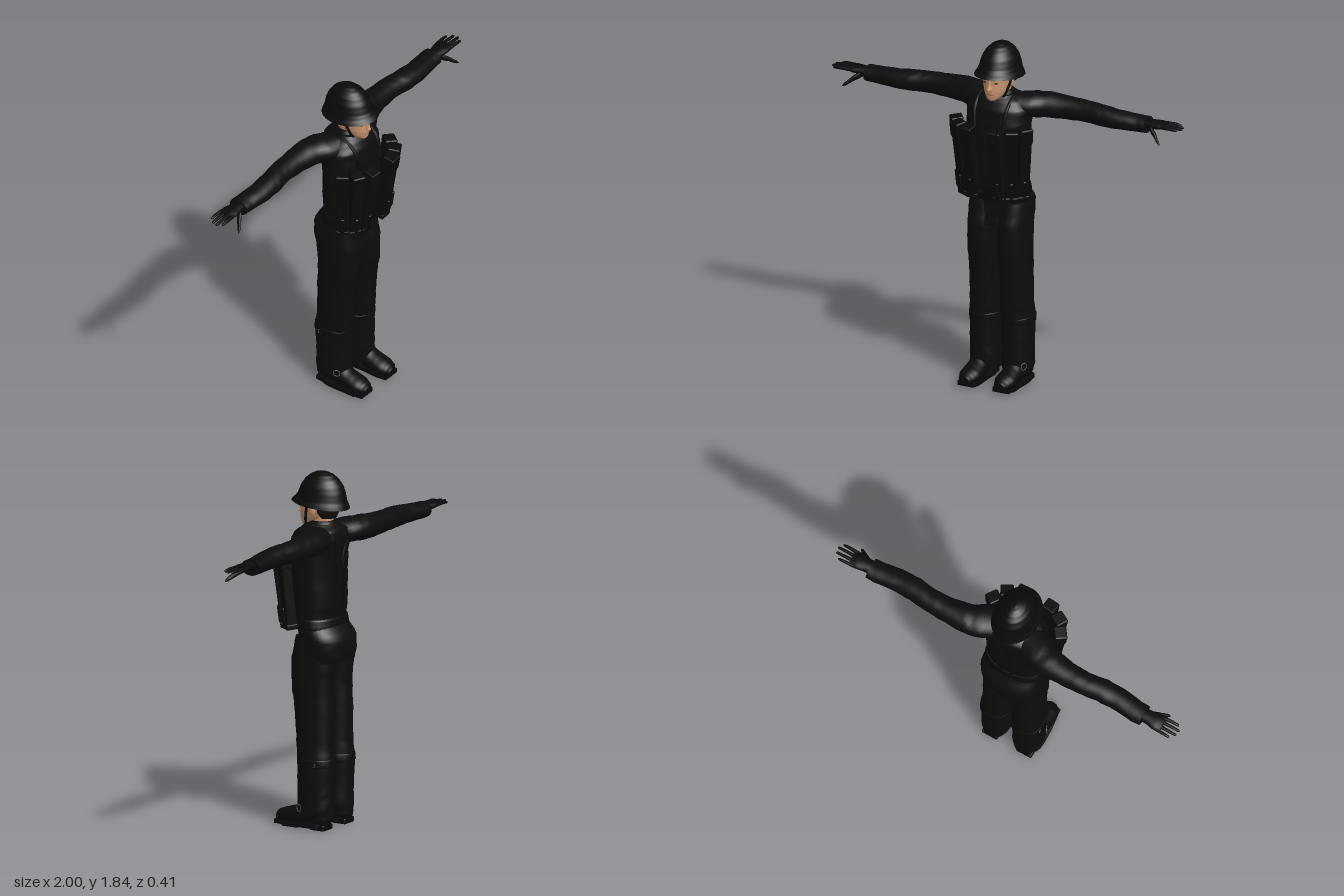
import * as THREE from 'three';
import { RoundedBoxGeometry } from 'three/addons/geometries/RoundedBoxGeometry.js';

const mat = (name, color) => Object.assign(new THREE.MeshStandardMaterial({ color }), { name });

// Smooth tube through elliptical sections [t, u, v, ru, rv]; fold adds soft cloth creases.
// Axis y: u=x, v=z. Axis x: u=z, v=y. Axis z: u=y, v=x.
function loft(axis, rows, { seg = 28, sub = 4, fold = 0, square = 1 } = {}) {
  rows = [...rows].sort((a, b) => a[0] - b[0]);
  const rings = [];
  for (let i = 0; i < rows.length - 1; i++) {
    const [p, a, b, q] = [rows[Math.max(i - 1, 0)], rows[i], rows[i + 1], rows[Math.min(i + 2, rows.length - 1)]];
    for (let s = 0; s < sub; s++) {
      const t = s / sub, h = t * t * (3 - 2 * t);
      rings.push(a.map((_, k) => k === 0 ? a[0] + (b[0] - a[0]) * t
        : a[k] + (b[k] - a[k]) * (0.5 * t + 0.5 * h) + 0.05 * t * (1 - t) * (a[k] + b[k] - p[k] - q[k])));
    }
  }
  rings.push(rows[rows.length - 1]);
  const pos = [], idx = [];
  const put = (t, u, v) => pos.push(...(axis === 'y' ? [u, t, v] : axis === 'x' ? [t, v, u] : [v, u, t]));
  const ring = ([t, u, v, ru, rv]) => {
    for (let j = 0; j < seg; j++) {
      const a = j / seg * Math.PI * 2, c = Math.cos(a), s = Math.sin(a);
      const k = 1 + fold * Math.sin(t * 75 + 2 * Math.sin(a * 2 + t * 9)) * Math.sin(a + t * 14);
      put(t, u + ru * k * Math.sign(c) * Math.abs(c) ** square, v + rv * k * Math.sign(s) * Math.abs(s) ** square);
    }
  };
  rings.forEach(ring);
  for (let i = 0; i < rings.length - 1; i++) for (let j = 0; j < seg; j++) {
    const a = i * seg + j, b = i * seg + (j + 1) % seg;
    idx.push(a, a + seg, b, b, a + seg, b + seg);
  }
  [rings[0], rings[rings.length - 1]].forEach((r, end) => {
    const base = pos.length / 3;
    ring(r);
    put(r[0], r[1], r[2]);
    for (let j = 0; j < seg; j++) {
      const a = base + j, b = base + (j + 1) % seg;
      idx.push(base + seg, end ? b : a, end ? a : b);
    }
  });
  const g = new THREE.BufferGeometry();
  g.setAttribute('position', new THREE.Float32BufferAttribute(pos, 3));
  g.setIndex(idx);
  g.computeVertexNormals();
  return g;
}

function mirrored(geo) {
  const g = geo.clone();
  const src = g.index ? Array.from(g.index.array) : Array.from({ length: g.attributes.position.count }, (_, i) => i);
  for (let i = 0; i < src.length; i += 3) [src[i], src[i + 1]] = [src[i + 1], src[i]];
  g.setIndex(src);
  return g.scale(-1, 1, 1);
}

const tube = (pts, r) => new THREE.TubeGeometry(
  new THREE.CatmullRomCurve3(pts.map(p => new THREE.Vector3(...p))), 24, r, 8);
const ball = (x, y, z, a, b, c) => new THREE.SphereGeometry(1, 16, 12).scale(a, b, c).translate(x, y, z);

export function createModel() {
  const cloth = mat('black cloth', 0x0c0c0c), gear = mat('black gear', 0x0a0a0a);
  const skin = mat('skin', 0xc8946f), lip = mat('lips', 0xa0644f);
  const dark = mat('hair', 0x15100d), metal = mat('buckle metal', 0x777777);
  const model = new THREE.Group();
  const add = (name, geo, m) => {
    const mesh = new THREE.Mesh(geo, m);
    mesh.name = name;
    model.add(mesh);
  };
  const pair = (name, geo, m) => {
    add(name + 'Left', geo, m);
    add(name + 'Right', mirrored(geo), m);
  };

  // Jacket with flared skirt, collar and belt
  add('jacket', loft('y', [
    [0.87, 0, -0.07, 0.158, 0.13], [0.93, 0, -0.078, 0.165, 0.13], [0.99, 0, -0.08, 0.166, 0.125],
    [1.08, 0, -0.037, 0.155, 0.105], [1.16, 0, -0.037, 0.158, 0.117], [1.3, 0, -0.03, 0.165, 0.122],
    [1.42, 0, -0.032, 0.17, 0.122], [1.5, 0, -0.045, 0.172, 0.122], [1.545, 0, -0.05, 0.14, 0.108],
    [1.575, 0, -0.045, 0.085, 0.078]], { seg: 40, fold: 0.012, square: 0.85 }), cloth);
  add('collar', loft('y', [
    [1.53, 0, -0.045, 0.09, 0.09], [1.57, 0, -0.045, 0.074, 0.076], [1.59, 0, -0.052, 0.064, 0.062]]), cloth);
  add('belt', loft('y', [
    [1.04, 0, -0.045, 0.165, 0.112], [1.05, 0, -0.044, 0.167, 0.114],
    [1.085, 0, -0.04, 0.163, 0.113], [1.095, 0, -0.038, 0.16, 0.11]], { square: 0.85 }), gear);
  pair('harnessStrap', tube([[0.08, 1.4, 0.09], [0.09, 1.52, 0.06], [0.09, 1.57, -0.04],
    [0.075, 1.53, -0.14], [0.03, 1.4, -0.153], [0.03, 1.1, -0.145]], 0.01), gear);

  // Sleeves
  pair('sleeve', loft('x', [
    [0.05, -0.055, 1.51, 0.09, 0.06], [0.17, -0.1, 1.514, 0.098, 0.064], [0.25, -0.127, 1.513, 0.077, 0.065],
    [0.35, -0.135, 1.511, 0.065, 0.059], [0.45, -0.135, 1.511, 0.06, 0.055], [0.55, -0.122, 1.508, 0.062, 0.054],
    [0.65, -0.12, 1.504, 0.06, 0.048], [0.75, -0.131, 1.501, 0.058, 0.043],
    [0.8, -0.133, 1.5, 0.056, 0.042]], { fold: 0.025 }), cloth);

  // Gloved hands
  pair('palm', loft('x', [
    [0.77, -0.13, 1.505, 0.036, 0.027], [0.82, -0.13, 1.509, 0.038, 0.024],
    [0.87, -0.132, 1.512, 0.046, 0.02], [0.91, -0.133, 1.513, 0.043, 0.013]]), gear);
  [[-0.173, 0.97, 0.008], [-0.147, 0.995, 0.009], [-0.12, 1, 0.009], [-0.095, 0.982, 0.009]].forEach(([z, tip, r], i) =>
    pair('finger' + (i + 1), loft('x', [
      [0.88, z * 0.9 - 0.014, 1.513, r * 1.2, r * 1.2], [0.94, z, 1.514, r, r],
      [tip - 0.006, z, 1.511, r * 0.8, r * 0.8], [tip, z, 1.51, r * 0.3, r * 0.3]], { seg: 10, sub: 2 }), gear));
  pair('thumb', loft('x', [
    [0.815, -0.115, 1.503, 0.018, 0.02], [0.855, -0.085, 1.478, 0.014, 0.016],
    [0.895, -0.055, 1.447, 0.009, 0.01], [0.905, -0.049, 1.439, 0.004, 0.004]], { seg: 12 }), gear);

  // Trousers
  pair('trouserLeg', loft('y', [
    [0.055, 0.09, -0.07, 0.068, 0.09], [0.1, 0.09, -0.068, 0.079, 0.097], [0.2, 0.09, -0.067, 0.078, 0.097],
    [0.34, 0.09, -0.07, 0.082, 0.1], [0.45, 0.087, -0.062, 0.079, 0.1], [0.6, 0.086, -0.057, 0.078, 0.106],
    [0.75, 0.085, -0.045, 0.082, 0.114], [0.88, 0.083, -0.05, 0.083, 0.12],
    [1, 0.08, -0.05, 0.082, 0.095]], { fold: 0.022, square: 0.9 }), cloth);
  pair('calfBand', loft('y', [
    [0.33, 0.09, -0.072, 0.083, 0.1], [0.335, 0.09, -0.072, 0.086, 0.102],
    [0.365, 0.09, -0.07, 0.086, 0.102], [0.37, 0.09, -0.07, 0.082, 0.099]], { square: 0.9, sub: 1 }), gear);
  pair('calfBuckle', new THREE.TorusGeometry(0.013, 0.0016, 6, 4).rotateZ(Math.PI / 4)
    .rotateY(Math.PI / 2).translate(0.173, 0.345, -0.1), metal);

  // Boots with soles and heels
  pair('boot', loft('z', [
    [-0.15, 0.06, 0.1, 0.035, 0.03], [-0.13, 0.07, 0.1, 0.055, 0.046], [-0.05, 0.08, 0.1, 0.065, 0.05],
    [0, 0.073, 0.1, 0.062, 0.052], [0.05, 0.06, 0.1, 0.05, 0.057], [0.1, 0.054, 0.1, 0.042, 0.057],
    [0.14, 0.048, 0.1, 0.034, 0.043], [0.156, 0.043, 0.1, 0.018, 0.022]]), gear);
  const sole = new THREE.Shape();
  sole.moveTo(0.055, 0.15);
  sole.bezierCurveTo(0.04, 0.11, 0.05, 0.06, 0.04, -0.05);
  sole.bezierCurveTo(0.035, -0.16, 0.165, -0.16, 0.163, -0.05);
  sole.bezierCurveTo(0.163, 0.06, 0.148, 0.11, 0.146, 0.15);
  sole.closePath();
  pair('sole', new THREE.ExtrudeGeometry(sole, { depth: 0.022, bevelEnabled: false, curveSegments: 10 })
    .rotateX(Math.PI / 2).translate(0, 0.034, 0), gear);
  pair('heel', new RoundedBoxGeometry(0.09, 0.03, 0.085, 2, 0.008).translate(0.1, 0.015, -0.105), gear);
  pair('soleTread', new RoundedBoxGeometry(0.105, 0.02, 0.1, 2, 0.008).translate(0.101, 0.013, 0.055), gear);
  pair('ankleStrap', tube([[0.045, 0.08, -0.02], [0.075, 0.13, 0.01], [0.125, 0.13, 0.01], [0.155, 0.08, -0.02]], 0.008), gear);
  pair('ankleBuckle', new THREE.TorusGeometry(0.018, 0.0018, 6, 16).rotateY(1.2).translate(0.154, 0.11, -0.005), metal);

  // Magazine pouches fanned around the chest, leaning outward at the top
  [[0.077, 0.147, 0.08], [0.14, 0.117, 0.5], [0.178, 0.064, 0.95]].forEach(([x, z, yaw], i) => {
    const pose = new THREE.Matrix4().makeRotationFromEuler(new THREE.Euler(0.16 - i * 0.03, yaw, 0, 'YXZ')).setPosition(x, 1.238, z - 0.012);
    const part = (name, w, h, d, y, dz) =>
      pair(name + (i + 1), new RoundedBoxGeometry(w, h, d, 2, 0.008).translate(0, y, dz).applyMatrix4(pose), gear);
    part('pouch', 0.066, 0.395, 0.058, 0, 0);
    part('pouchFlap', 0.07, 0.085, 0.066, 0.162, 0.002);
    part('pouchTab', 0.022, 0.09, 0.018, -0.13, 0.03);
    part('pouchBase', 0.07, 0.03, 0.064, -0.185, 0);
  });

  // Head and neck
  add('neck', loft('y', [[1.5, 0, -0.05, 0.056, 0.056], [1.6, 0, -0.048, 0.053, 0.058], [1.66, 0, -0.05, 0.055, 0.06]]), skin);
  add('head', loft('y', [
    [1.555, 0, 0.042, 0.02, 0.022], [1.565, 0, 0.026, 0.036, 0.045], [1.585, 0, 0.005, 0.052, 0.069],
    [1.61, 0, -0.012, 0.063, 0.088], [1.645, 0, -0.025, 0.071, 0.098], [1.68, 0, -0.03, 0.075, 0.106],
    [1.74, 0, -0.04, 0.07, 0.1]]), skin);
  add('nose', loft('y', [[1.611, 0, 0.074, 0.009, 0.007], [1.618, 0, 0.08, 0.013, 0.015],
    [1.64, 0, 0.074, 0.008, 0.012], [1.67, 0, 0.07, 0.006, 0.008]], { seg: 14 }), skin);
  add('lips', ball(0, 1.594, 0.073, 0.019, 0.005, 0.006), lip);
  pair('eye', ball(0.03, 1.653, 0.063, 0.012, 0.004, 0.006), dark);
  pair('eyebrow', ball(0.032, 1.67, 0.064, 0.018, 0.004, 0.008).rotateZ(0.01), dark);
  pair('ear', ball(0.074, 1.642, -0.035, 0.008, 0.026, 0.016), skin);
  add('hair', loft('y', [[1.605, 0, -0.082, 0.05, 0.042], [1.64, 0, -0.08, 0.073, 0.056],
    [1.7, 0, -0.08, 0.078, 0.065]]), dark);

  // Helmet with flared rim that dips toward the back
  const helmet = loft('y', [
    [1.665, 0, -0.037, 0.123, 0.158], [1.674, 0, -0.038, 0.12, 0.154], [1.7, 0, -0.042, 0.108, 0.139],
    [1.73, 0, -0.046, 0.101, 0.129], [1.765, 0, -0.047, 0.092, 0.116], [1.8, 0, -0.047, 0.073, 0.093],
    [1.823, 0, -0.047, 0.051, 0.066], [1.837, 0, -0.047, 0.026, 0.036], [1.842, 0, -0.047, 0.005, 0.007]], { seg: 40 });
  const p = helmet.attributes.position;
  for (let i = 0; i < p.count; i++) {
    const k = Math.max(0, (1.73 - p.getY(i)) / 0.065);
    p.setY(i, p.getY(i) + k * (0.006 + 0.11 * (p.getZ(i) + 0.04)));
  }
  helmet.computeVertexNormals();
  add('helmet', helmet, gear);
  add('chinStrap', tube([[-0.085, 1.68, -0.01], [-0.074, 1.63, 0.005], [-0.05, 1.572, 0.02], [0, 1.552, 0.035],
    [0.05, 1.572, 0.02], [0.074, 1.63, 0.005], [0.085, 1.68, -0.01]], 0.007), gear);
  return model;
}
